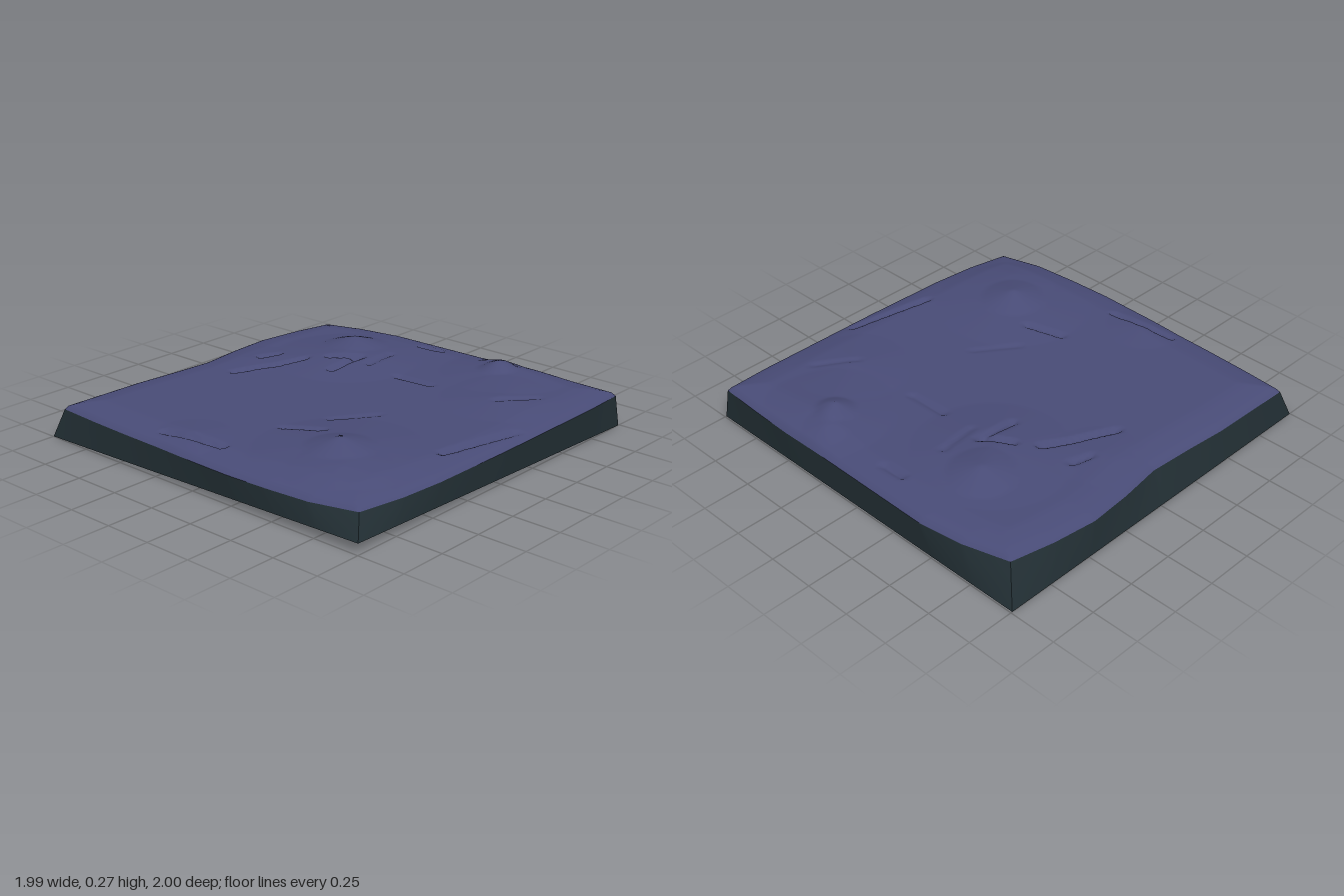
import * as THREE from 'three';

const { lerp, clamp } = THREE.MathUtils;

// Piecewise-linear lookup of evenly spaced samples, t in 0..1
function sample(list, t) {
  const f = clamp(t, 0, 1) * (list.length - 1);
  const i = Math.min(Math.floor(f), list.length - 2);
  return lerp(list[i], list[i + 1], f - i);
}

// Uneven outline where the ground cover meets the earth sides
const LEFT = [-0.95, -0.965, -0.975, -0.98, -0.99, -0.995, -0.985, -0.965, -0.9];
const RIGHT = [0.88, 0.95, 0.985, 0.985, 0.985, 0.985, 0.99, 0.985, 0.975];
const BACK = [-0.96, -0.955, -0.95, -0.93, -0.915, -0.945, -0.96, -0.93, -0.88];
const FRONT = [0.92, 0.965, 0.985, 0.99, 0.995, 0.995, 0.995, 0.995, 0.985];

const outline = (u, v) => [
  lerp(sample(LEFT, v), sample(RIGHT, v), u),
  lerp(sample(BACK, u), sample(FRONT, u), v),
];
const rimHeight = (u, v) => 0.14 + 0.018 * u * v;

// Square base, with its front corner lifted on the -x side
const basePoint = (u, v) => [lerp(-0.998, 0.992, u), 0.055 * (1 - u) * v, v * 2 - 1];

// Hills: x, z, height, reach; small peaks sit on broad swells
const HILLS = [
  [-0.55, 0.5, 0.04, 0.42], [-0.55, 0.5, 0.036, 0.17], [-0.72, 0.66, 0.015, 0.25],
  [0.6, -0.42, 0.04, 0.17], [0.45, -0.34, 0.042, 0.4],
  [0.76, 0.41, 0.04, 0.1], [0.78, 0.45, 0.036, 0.34], [0.88, 0.35, 0.02, 0.12],
  [0.45, 0.65, 0.022, 0.3], [0.1, -0.7, 0.012, 0.22], [-0.85, -0.15, 0.015, 0.2],
];

// Narrow gullies: x1, z1, x2, z2, depth
const GULLIES = [
  [-0.1, -0.63, 0.26, -0.47, 0.03], [0.14, -0.68, 0.24, -0.65, 0.02],
  [0.34, -0.37, 0.42, -0.25, 0.03], [0.22, -0.25, 0.44, -0.24, 0.025],
  [0.4, -0.15, 0.6, -0.17, 0.012], [-0.89, -0.3, -0.85, 0.05, 0.025],
  [-0.25, 0.85, 0.2, 0.94, 0.025], [-0.5, 0.1, -0.43, 0.28, 0.02],
  [-0.28, 0.19, -0.08, 0.33, 0.008], [0.39, 0.05, 0.4, 0.26, 0.015],
  [0.85, -0.16, 0.86, -0.04, 0.02], [0.4, 0.66, 0.58, 0.79, 0.01],
];

function segmentDistance(x, z, [x1, z1, x2, z2]) {
  const dx = x2 - x1, dz = z2 - z1;
  const t = clamp(((x - x1) * dx + (z - z1) * dz) / (dx * dx + dz * dz), 0, 1);
  return Math.hypot(x - x1 - t * dx, z - z1 - t * dz);
}

function groundPoint(u, v) {
  const [x, z] = outline(u, v);
  const edge = Math.min(u, 1 - u, v, 1 - v);
  const rise = Math.min(1, edge / 0.08) ** 0.42;
  let y = 0.05;
  for (const [hx, hz, h, reach] of HILLS) {
    y += h * Math.max(0, 1 - Math.hypot(x - hx, z - hz) / reach);
  }
  for (const g of GULLIES) {
    y -= g[4] * Math.max(0, 1 - segmentDistance(x, z, g) / 0.025);
  }
  return [x, rimHeight(u, v) + y * rise, z];
}

// Surface from a rule; the outside is du x dv
function surface(rule, nu, nv) {
  const positions = [], index = [];
  for (let j = 0; j <= nv; j++) {
    for (let i = 0; i <= nu; i++) positions.push(...rule(i / nu, j / nv));
  }
  for (let j = 0; j < nv; j++) {
    for (let i = 0; i < nu; i++) {
      const a = j * (nu + 1) + i, d = a + nu + 1;
      index.push(a, a + 1, d, a + 1, d + 1, d);
    }
  }
  const geometry = new THREE.BufferGeometry();
  geometry.setAttribute('position', new THREE.Float32BufferAttribute(positions, 3));
  geometry.setIndex(index);
  geometry.computeVertexNormals();
  return geometry;
}

export function createModel() {
  const model = new THREE.Group();
  model.name = 'terrainSlab';
  const ground = new THREE.MeshStandardMaterial({ name: 'dusk purple', color: 0x484b76 });
  const earth = new THREE.MeshStandardMaterial({ name: 'dark slate', color: 0x202c31 });

  const add = (name, geometry, material) => {
    const mesh = new THREE.Mesh(geometry, material);
    mesh.name = name;
    model.add(mesh);
  };

  // Hilly ground cover
  add('ground', surface((u, v) => groundPoint(u, 1 - v), 120, 120), ground);

  // Earth sides, lofted from the square base up to the uneven rim
  const walks = {
    frontSide: (t) => [t, 1],
    leftSide: (t) => [1, 1 - t],
    backSide: (t) => [1 - t, 0],
    rightSide: (t) => [0, t],
  };
  for (const [name, walk] of Object.entries(walks)) {
    add(name, surface((t, h) => {
      const [u, v] = walk(t);
      const [x, z] = outline(u, v);
      const [bx, by, bz] = basePoint(u, v);
      return [lerp(bx, x, h), lerp(by, rimHeight(u, v), h), lerp(bz, z, h)];
    }, 120, 3), earth);
  }

  // Underside, slightly twisted by the lifted corner
  add('underside', surface(basePoint, 10, 10), earth);
  return model;
}
